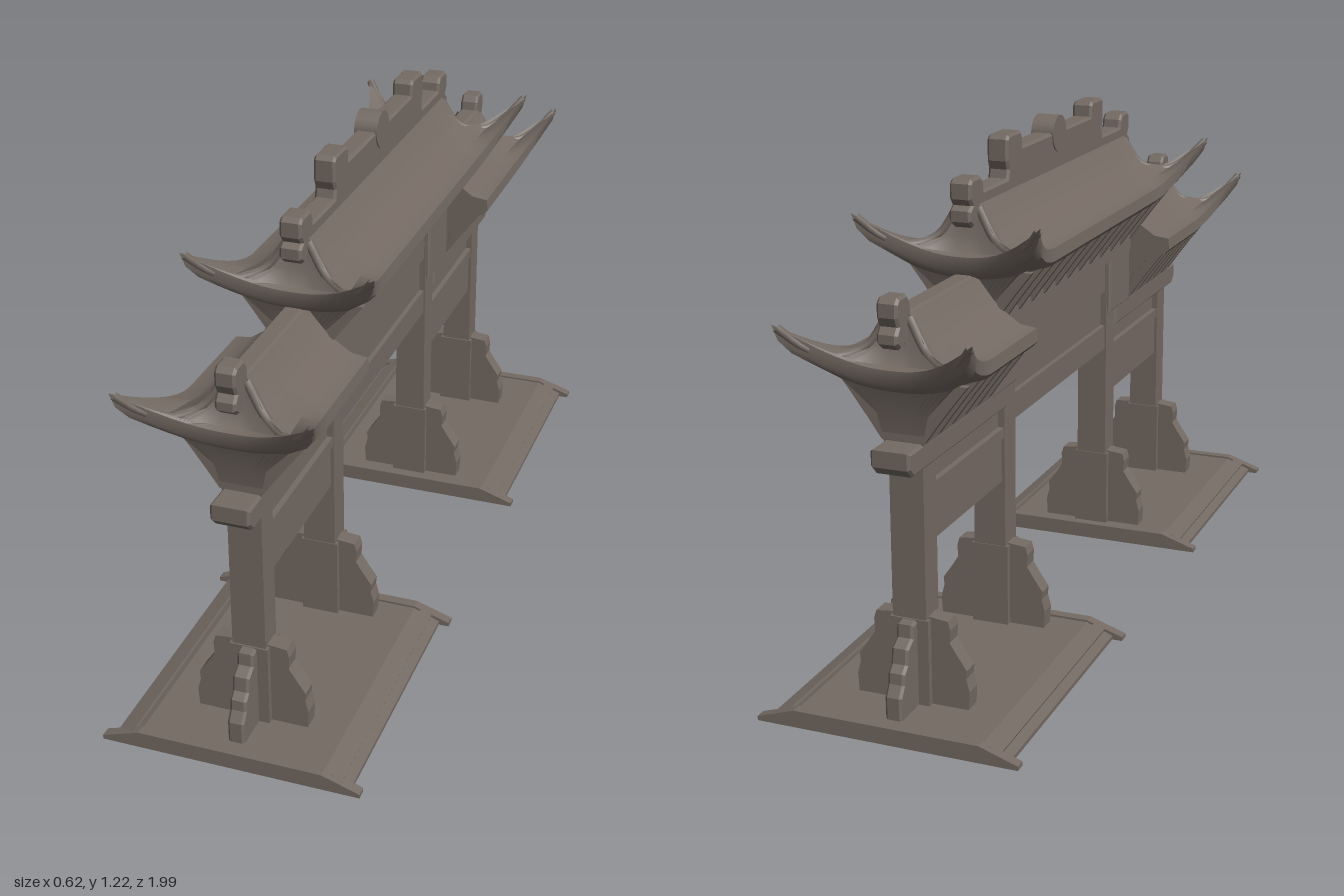
import * as THREE from 'three';
import { toCreasedNormals } from 'three/addons/utils/BufferGeometryUtils.js';

const stone = new THREE.MeshStandardMaterial({ color: 0x746a63 });
stone.name = 'weathered stone';

function add(group, name, geometry) {
  const mesh = new THREE.Mesh(geometry, stone);
  mesh.name = name;
  group.add(mesh);
}

// Box given by its ranges, centred on x = 0
function block(group, name, halfX, y0, y1, z0, z1) {
  const g = new THREE.BoxGeometry(halfX * 2, y1 - y0, z1 - z0);
  add(group, name, g.translate(0, (y0 + y1) / 2, (z0 + z1) / 2));
}

const shapeOf = pts => new THREE.Shape(pts.map(p => new THREE.Vector2(...p)));

// Outline in x, y extruded from z0 to z1
function alongZ(group, name, pts, z0, z1) {
  const g = new THREE.ExtrudeGeometry(shapeOf(pts), { depth: z1 - z0, bevelEnabled: false });
  add(group, name, g.translate(0, 0, z0));
}

// Outline in z, y extruded across x
function alongX(group, name, pts, halfX) {
  const b = 0.006;
  const g = new THREE.ExtrudeGeometry(shapeOf(pts), {
    depth: 2 * (halfX - b), bevelThickness: b, bevelSize: b, bevelOffset: -b, bevelSegments: 1,
  });
  add(group, name, g.translate(0, 0, -(halfX - b)).rotateY(-Math.PI / 2));
}

// Roof cross-section from the bracket foot, round the eave, to the ridge:
// half width, height, end overhang, then corner sweep in x, z and y
const LEVELS = [
  [0.045, 0.64, -0.02, 0, 0, 0],
  [0.058, 0.71, -0.012, 0, 0, 0],
  [0.105, 0.765, 0.005, 0.02, 0.01, 0.02],
  [0.15, 0.776, 0.025, 0.045, 0.07, 0.078],
  [0.163, 0.79, 0.035, 0.052, 0.08, 0.095],
  [0.16, 0.82, 0.035, 0.064, 0.088, 0.1],
  [0.12, 0.826, 0.02, 0.02, 0.035, 0.02],
  [0.07, 0.86, 0, 0.005, 0.01, 0],
  [0.025, 0.935, -0.01, 0, 0, 0],
];

// Swept roof between z0 and z1; hipped at z1, and at z0 too when both is set
function roof(group, z0, z1, lift, both) {
  const n = 40, m = 16, uv = [];
  for (let i = 0; i < n; i++) uv.push([1, i / n]);
  for (let i = 0; i < m; i++) uv.push([1 - 2 * i / m, 1]);
  for (let i = 0; i < n; i++) uv.push([-1, 1 - i / n]);
  for (let i = 0; i < m; i++) uv.push([-1 + 2 * i / m, 0]);
  const pos = [], index = [], N = uv.length;
  for (const [hx, y, e, dx, dz, dy] of LEVELS) {
    const a = both ? z0 - e : z0, b = z1 + e;
    for (const [u, v] of uv) {
      const z = a + (b - a) * v;
      const near = d => Math.max(0, 1 - d / 0.17) ** 2.2 * Math.abs(u) ** 2.8;
      const wb = near(b - z), wa = both ? near(z - a) : 0, w = wa + wb;
      pos.push(u * hx + Math.sign(u) * w * dx, y + lift + w * dy, z + (wb - wa) * dz);
    }
  }
  for (let k = 0; k < LEVELS.length - 1; k++) {
    for (let j = 0; j < N; j++) {
      const a = k * N + j, b = k * N + (j + 1) % N;
      index.push(a, a + N, b, b, a + N, b + N);
    }
  }
  const g = new THREE.BufferGeometry();
  g.setAttribute('position', new THREE.Float32BufferAttribute(pos, 3));
  g.setIndex(index);
  add(group, 'sweptRoof', toCreasedNormals(g, 0.7));

  // Rolls along the hips
  for (const end of both ? [1, -1] : [1]) {
    for (const s of [1, -1]) {
      const mid = (z0 + z1) / 2;
      const curve = new THREE.CatmullRomCurve3(
        [[0.025, 0.925, -0.01], [0.07, 0.858, 0.005], [0.13, 0.84, 0.045], [0.18, 0.87, 0.085], [0.217, 0.912, 0.116]]
          .map(([x, y, z]) => new THREE.Vector3(s * x, y + lift, mid + end * (z1 + z - mid))));
      add(group, 'hipRoll', new THREE.TubeGeometry(curve, 14, 0.01, 6));
    }
  }
}

// Flared ribs under the eaves
function ribs(group, z0, z1, count, lift) {
  for (let i = 0; i <= count; i++) {
    const z = z0 + (z1 - z0) * i / count;
    const half = [[0.05, 0.65], [0.078, 0.69], [0.115, 0.74], [0.15, 0.785]];
    const pts = [...half, ...half.map(([x, y]) => [-x, y]).reverse()].map(([x, y]) => [x, y + lift]);
    alongZ(group, 'eaveRib', pts, z - 0.008, z + 0.008);
  }
}

// Scrolled support stones: distance from the column, height
const SIDE_STONE = [[0, 0.03], [0.095, 0.03], [0.098, 0.08], [0.09, 0.11], [0.092, 0.13], [0.068, 0.165],
  [0.052, 0.19], [0.054, 0.22], [0.048, 0.24], [0, 0.245]];
const END_STONE = [[0, 0.03], [0.095, 0.03], [0.096, 0.09], [0.08, 0.115], [0.078, 0.14], [0.062, 0.155],
  [0.058, 0.19], [0.032, 0.205], [0.03, 0.235], [0, 0.24]];

function wing() {
  const g = new THREE.Group();

  // Plinth with sloping sides and raised end strips
  const plinth = (hx, top) => [[-hx, 0.002], [hx, 0.002], [hx, 0.012], [0.22, top], [-0.22, top], [-hx, 0.012]];
  alongZ(g, 'plinth', plinth(0.285, 0.037), 0.3, 0.97);
  alongZ(g, 'plinthEnd', plinth(0.31, 0.042), 0.285, 0.31);
  alongZ(g, 'plinthEnd', plinth(0.31, 0.042), 0.955, 0.98);
  for (const s of [1, -1]) {
    const strip = new THREE.BoxGeometry(0.03, 0.008, 0.66);
    add(g, 'plinthStrip', strip.rotateZ(-s * 0.36).translate(s * 0.25, 0.028, 0.635));
  }

  // Columns with support stones
  block(g, 'innerColumn', 0.04, 0.03, 0.82, 0.325, 0.392);
  block(g, 'outerColumn', 0.04, 0.03, 0.62, 0.778, 0.842);
  for (const zc of [0.358, 0.81]) {
    for (const s of [1, -1]) {
      const pts = SIDE_STONE.map(([d, y]) => [s * (0.038 + d), y]);
      alongZ(g, 'supportStone', pts, zc - 0.021, zc + 0.021);
    }
    block(g, 'columnFoot', 0.046, 0.03, 0.24, zc - 0.036, zc + 0.036);
  }
  alongX(g, 'endStone', END_STONE.map(([d, y]) => [0.838 + d, y]), 0.02);

  // Side beams
  block(g, 'lowerBeam', 0.032, 0.405, 0.535, 0.38, 0.79);
  block(g, 'lowerBeamBand', 0.038, 0.515, 0.54, 0.38, 0.79);
  block(g, 'sidePanel', 0.024, 0.53, 0.6, 0.38, 0.79);
  alongX(g, 'upperBeam', [[0.39, 0.59], [0.9, 0.59], [0.92, 0.61], [0.92, 0.648], [0.39, 0.648]], 0.046);

  // Corbel stepping out from the inner column below the central roof
  alongX(g, 'shoulderCorbel', [[0.33, 0.64], [0.49, 0.64], [0.49, 0.82], [0.33, 0.82]], 0.05);

  // Roof, ribs and ridge
  roof(g, 0.488, 0.87, 0, false);
  ribs(g, 0.5, 0.845, 5, 0);
  alongX(g, 'sideRidge', [[0.4, 0.82], [0.86, 0.82], [0.87, 0.875], [0.9, 0.865], [0.92, 0.88], [0.92, 0.9],
    [0.908, 0.915], [0.917, 0.935], [0.917, 0.965], [0.905, 0.977], [0.865, 0.977], [0.852, 0.96],
    [0.848, 0.938], [0.4, 0.938]], 0.024);
  return g;
}

export function createModel() {
  const model = new THREE.Group();
  model.name = 'memorialArch';

  // Two identical side bays
  for (const [name, turn] of [['frontBay', 0], ['backBay', Math.PI]]) {
    const bay = wing();
    bay.name = name;
    bay.rotation.y = turn;
    model.add(bay);
  }

  // Central bay
  const centre = new THREE.Group();
  centre.name = 'centralBay';
  model.add(centre);
  block(centre, 'centralLintel', 0.036, 0.54, 0.605, -0.33, 0.33);
  block(centre, 'centralPanel', 0.024, 0.6, 0.71, -0.33, 0.33);
  block(centre, 'centralBeam', 0.036, 0.7, 0.8, -0.33, 0.33);
  block(centre, 'roofBeam', 0.052, 0.785, 0.825, -0.5, 0.5);
  roof(centre, -0.505, 0.505, 0.16, true);
  ribs(centre, -0.485, 0.485, 12, 0.16);

  // Stepped ridge, mirrored about the middle
  const ridge = [[0.49, 0.97], [0.5, 1.055], [0.525, 1.045], [0.545, 1.06], [0.545, 1.085], [0.53, 1.095],
    [0.542, 1.11], [0.542, 1.145], [0.53, 1.155], [0.48, 1.155], [0.468, 1.14], [0.465, 1.12],
    [0.325, 1.12], [0.32, 1.14], [0.328, 1.16], [0.328, 1.21], [0.318, 1.22], [0.245, 1.22],
    [0.236, 1.21], [0.234, 1.182]];
  alongX(centre, 'steppedRidge', [...ridge, ...ridge.map(([z, y]) => [-z, y]).reverse()], 0.026);
  add(centre, 'ridgeDisc', new THREE.CylinderGeometry(0.045, 0.045, 0.058, 24)
    .rotateZ(Math.PI / 2).translate(0, 1.176, 0));
  return model;
}
